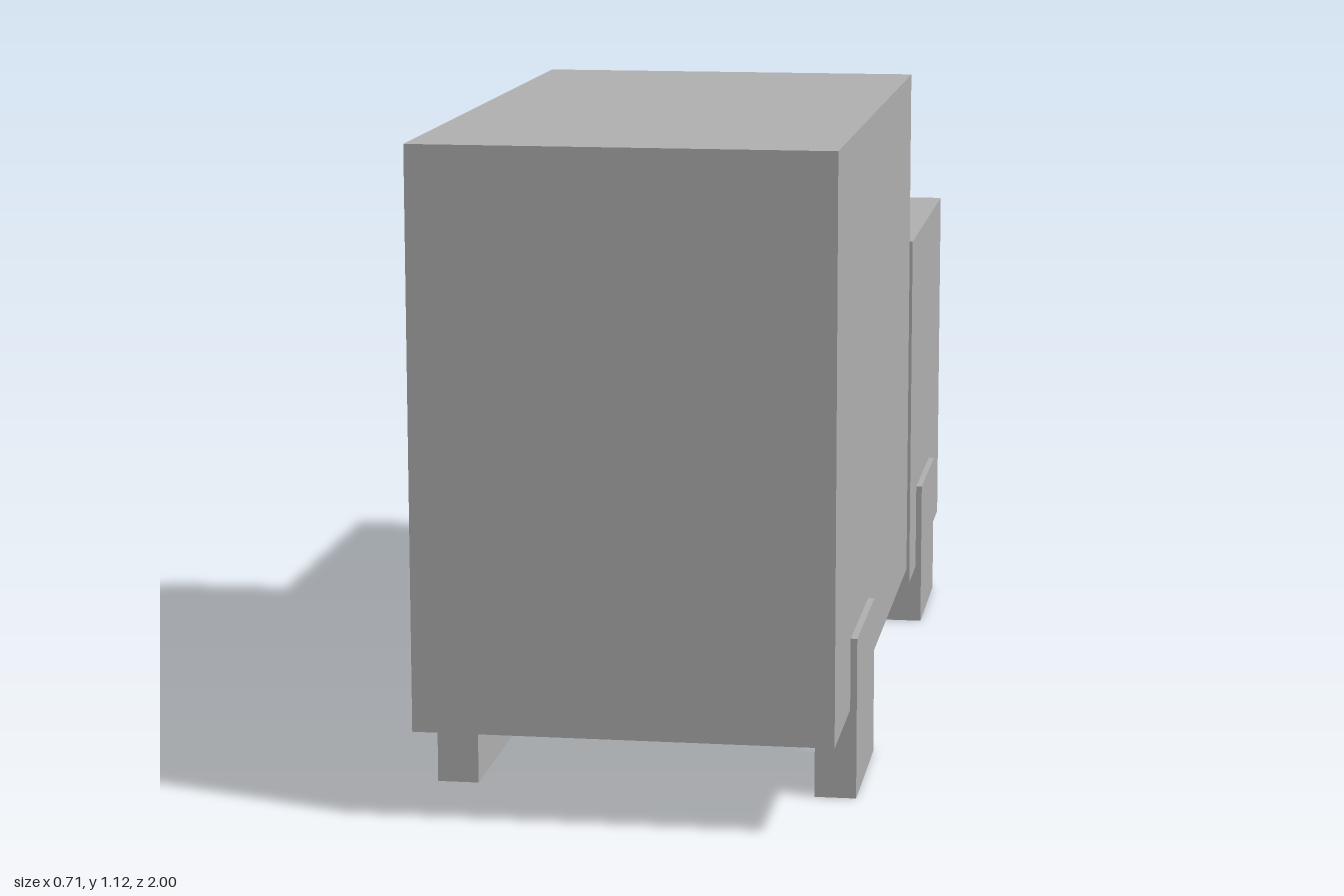
import * as THREE from 'three';

export function createModel() {
  const model = new THREE.Group();
  model.name = 'boxTruck';

  const grey = new THREE.MeshStandardMaterial({ color: 0xb2b2b2, side: THREE.DoubleSide });
  grey.name = 'plain grey';

  // Thin-walled box with no floor, given by its extents
  function openBox(name, x0, x1, y0, y1, z0, z1) {
    const geo = new THREE.BoxGeometry(x1 - x0, y1 - y0, z1 - z0);
    const index = Array.from(geo.index.array);
    index.splice(18, 6); // drop the bottom face
    geo.setIndex(index);
    geo.clearGroups();
    const mesh = new THREE.Mesh(geo, grey);
    mesh.name = name;
    mesh.position.set((x0 + x1) / 2, (y0 + y1) / 2, (z0 + z1) / 2);
    model.add(mesh);
  }

  // Cargo box and the lower cab, separated by a small gap
  openBox('cargoBox', -0.346, 0.346, 0.153, 1.115, -0.264, 1);
  openBox('cab', -0.346, 0.346, 0.111, 0.786, -0.989, -0.328);

  // Square wheels, two per axle
  for (const [axle, z] of [['cargo', 0.621], ['cab', -0.61]]) {
    openBox(axle + 'WheelLeft', 0.287, 0.357, 0, 0.275, z - 0.144, z + 0.144);
    openBox(axle + 'WheelRight', -0.357, -0.287, 0, 0.275, z - 0.144, z + 0.144);
  }

  // Windscreen panel just off the cab face
  const windscreen = new THREE.Mesh(new THREE.PlaneGeometry(0.595, 0.274), grey);
  windscreen.name = 'windscreen';
  windscreen.rotation.y = Math.PI;
  windscreen.position.set(0, 0.578, -1);
  model.add(windscreen);

  return model;
}
